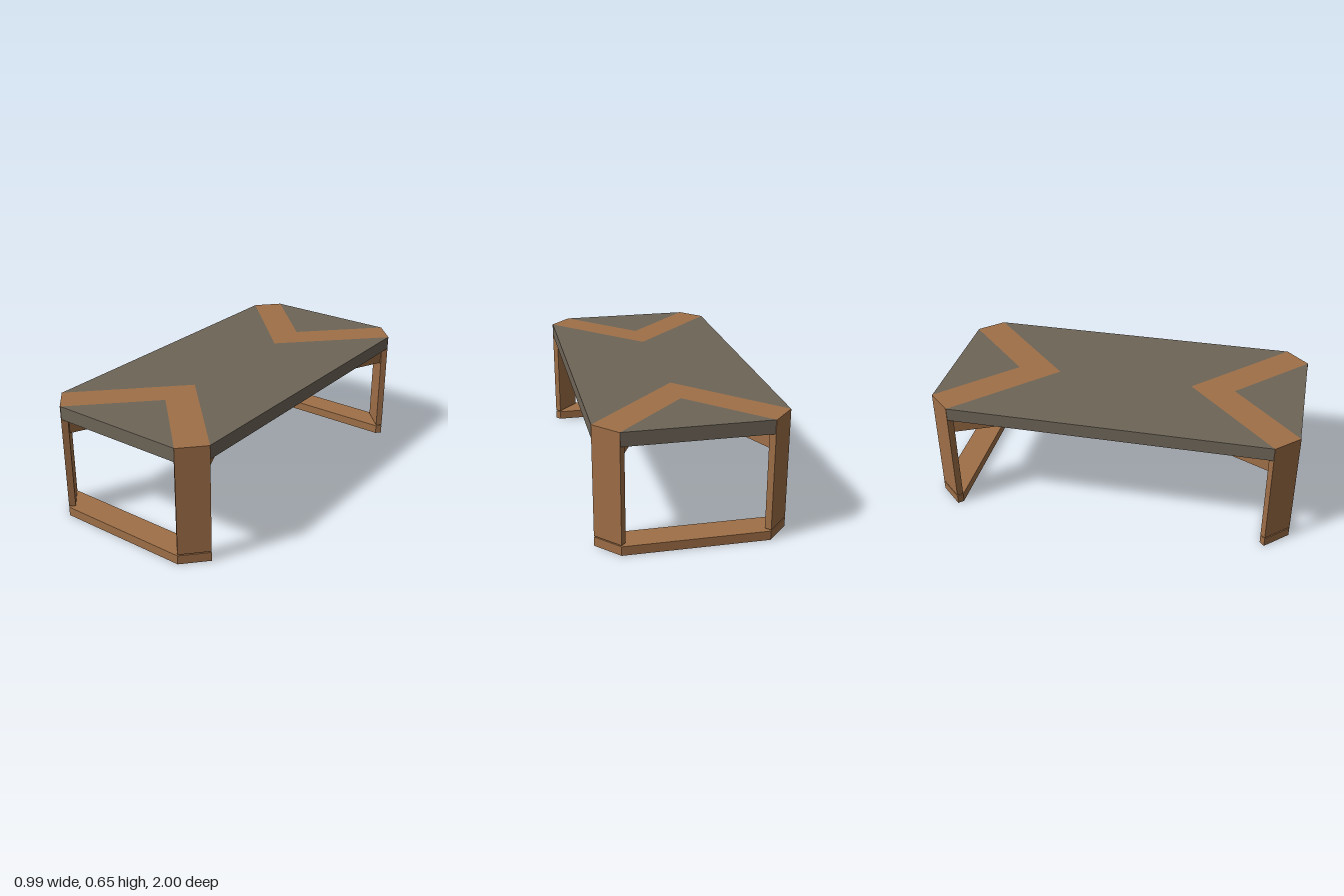
import * as THREE from 'three';

export function createModel() {
  const table = new THREE.Group();
  table.name = 'coffeeTable';

  const wood = new THREE.MeshStandardMaterial({ color: 0xa07048 });
  wood.name = 'warm wood';
  const stone = new THREE.MeshStandardMaterial({ color: 0x6e6558 });
  stone.name = 'grey brown top';

  // Upright prism from a plan outline of [x, z] points
  function prism(name, outline, y0, y1, material) {
    const shape = new THREE.Shape(outline.map(([x, z]) => new THREE.Vector2(x, -z)));
    const geo = new THREE.ExtrudeGeometry(shape, { depth: y1 - y0, bevelEnabled: false });
    geo.rotateX(-Math.PI / 2);
    geo.translate(0, y0, 0);
    const mesh = new THREE.Mesh(geo, material);
    mesh.name = name;
    table.add(mesh);
  }

  const topY = 0.65, underY = 0.576;

  // Main panel, notched at both ends
  prism('mainPanel', [
    [0.496, 0.875], [0, 0.377], [-0.496, 0.875],
    [-0.496, -0.875], [0, -0.377], [0.496, -0.875],
  ], underY, topY, stone);

  for (const end of [1, -1]) {
    const side = end > 0 ? 'front' : 'back';
    const at = (pts) => pts.map(([x, z]) => [x, z * end]);

    // Triangular end panel
    prism(side + 'EndPanel', at([[0.38, 0.998], [-0.38, 0.998], [0, 0.618]]), underY, topY, stone);

    // Bar on the floor joining the two legs
    prism(side + 'FootBar', at([
      [0.38, 1], [-0.38, 1], [-0.497, 0.875], [-0.472, 0.85], [0.472, 0.85], [0.497, 0.875],
    ]), 0, 0.05, wood);

    for (const s of [1, -1]) {
      const half = (s > 0 ? 'Left' : 'Right');
      const mirrored = (pts) => at(pts).map(([x, z]) => [x * s, z]);

      // Inlaid arm of the V, mitred on the centre line
      prism(side + half + 'InlayArm', mirrored([
        [0, 0.377], [0.497, 0.875], [0.38, 1], [0, 0.618],
      ]), underY, topY, wood);

      // Plank leg set across the corner
      prism(side + half + 'Leg', mirrored([
        [0.497, 0.875], [0.38, 1], [0.355, 0.975], [0.472, 0.85],
      ]), 0.056, underY, wood);
    }
  }

  // Crossed rails under the top, one outline mirrored through four quadrants
  const arm = [[0.061, 0], [0.461, 0.866], [0.379, 0.948], [0, 0.131]];
  const flip = (pts, sx, sz) => pts.map(([x, z]) => [x * sx, z * sz]);
  const back = [...arm].reverse();
  prism('crossRails', [
    ...arm,
    ...flip(back.slice(1), -1, 1),
    ...flip(arm.slice(1), -1, -1),
    ...flip(back.slice(1, 3), 1, -1),
  ], 0.477, underY, wood);

  return table;
}
